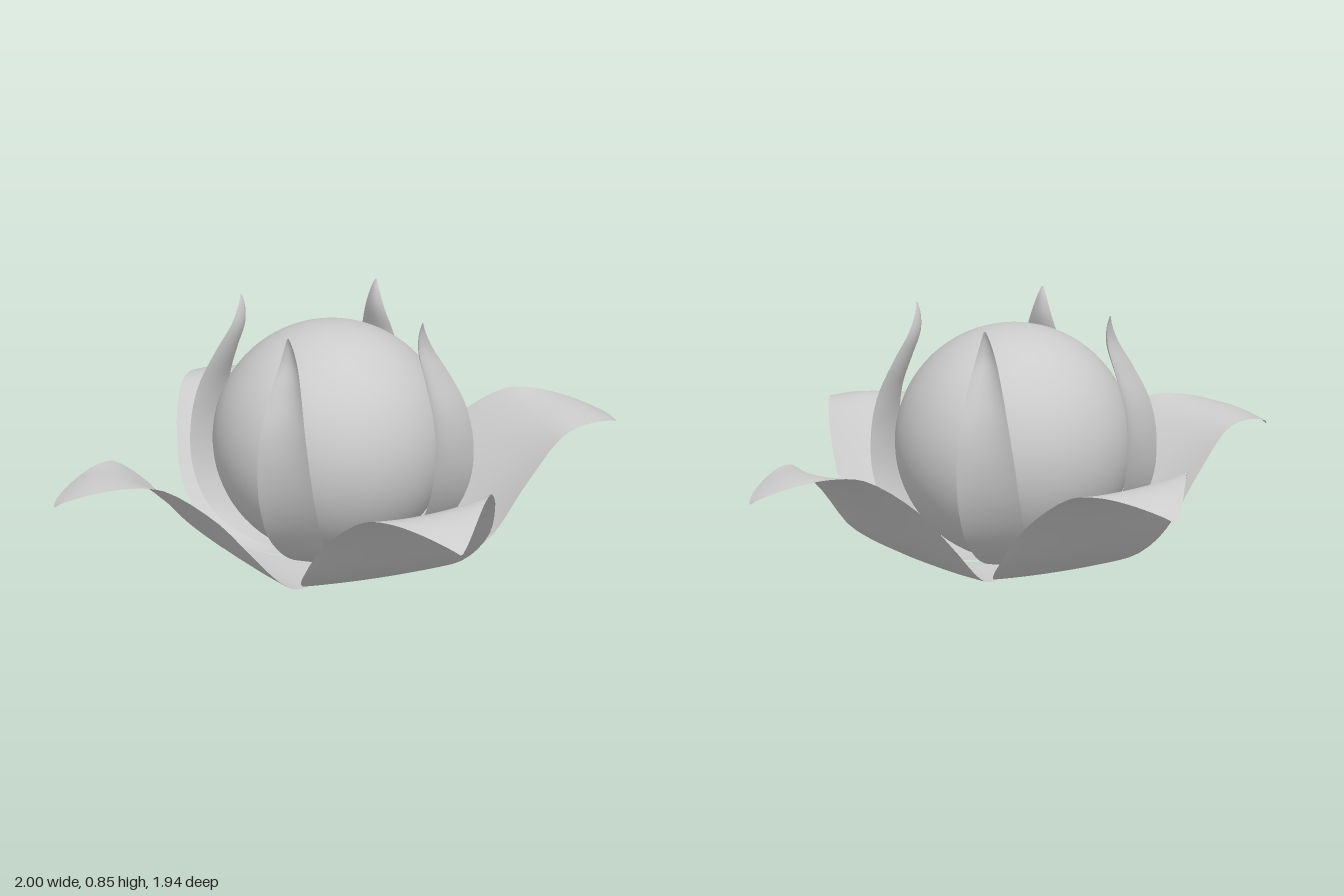
import * as THREE from 'three';

const material = new THREE.MeshStandardMaterial({ color: 0xcccccc, side: THREE.DoubleSide });

// Curved leaf-shaped sheet growing along +x, rolled so that its -z edge sits higher or further out.
// Rows run from base to tip: [distance out, height, half width, edge lift, edge flare]
function petalGeometry(rows, rollUp, rollOut, along = 40, across = 16) {
  const spine = new THREE.CatmullRomCurve3(rows.map(([r, y, w]) => new THREE.Vector3(r, y, w)));
  const curl = new THREE.CatmullRomCurve3(rows.map(([, , , lift, flare], i) => new THREE.Vector3(lift, flare, i)));
  const positions = [];
  const indices = [];
  for (let i = 0; i <= along; i++) {
    const p = spine.getPoint(i / along);
    const c = curl.getPoint(i / along);
    for (let j = 0; j <= across; j++) {
      const t = (j / across) * 2 - 1;
      const z = Math.max(p.z, 0) * t;
      // roll fades in with height so the base stays flat
      const roll = -z * Math.min(p.y / 0.12, 1);
      positions.push(p.x + c.y * t * t + rollOut * roll, p.y + c.x * t * t + rollUp * roll, z);
      if (i < along && j < across) {
        const a = i * (across + 1) + j;
        const b = a + across + 1;
        indices.push(a, a + 1, b, b, a + 1, b + 1);
      }
    }
  }
  const geometry = new THREE.BufferGeometry();
  geometry.setAttribute('position', new THREE.Float32BufferAttribute(positions, 3));
  geometry.setIndex(indices);
  geometry.computeVertexNormals();
  return geometry;
}

// Four copies of a petal around the vertical axis; front and back ones may be a little shorter
function ring(name, geometry, startAngle, frontBackReach) {
  const group = new THREE.Group();
  group.name = name + 's';
  for (let k = 0; k < 4; k++) {
    const petal = new THREE.Mesh(geometry, material);
    petal.name = name;
    petal.rotation.y = startAngle + (k * Math.PI) / 2;
    petal.scale.x = k % 2 ? frontBackReach : 1;
    group.add(petal);
  }
  return group;
}

export function createModel() {
  const flower = new THREE.Group();
  flower.name = 'flower';

  // Round centre
  const bud = new THREE.Mesh(new THREE.SphereGeometry(0.385, 64, 40), material);
  bud.name = 'bud';
  bud.position.set(0, 0.413, -0.037);
  flower.add(bud);

  // Wide open petals, each set slightly to one side of its axis
  const outer = petalGeometry([
    [0.01, 0.015, 0.01, 0, 0],
    [0.1, 0.005, 0.09, 0, 0],
    [0.2, 0.005, 0.19, 0.005, 0],
    [0.3, 0.035, 0.275, 0.01, 0],
    [0.42, 0.12, 0.322, 0.02, 0],
    [0.55, 0.245, 0.297, 0.04, 0],
    [0.7, 0.37, 0.224, 0.025, 0],
    [0.79, 0.405, 0.166, 0, 0],
    [0.88, 0.398, 0.105, -0.01, 0],
    [0.95, 0.367, 0.054, -0.004, 0],
    [0.985, 0.345, 0.024, 0, 0],
    [1.0, 0.33, 0.004, 0, 0],
  ], 0.085, 0);
  outer.translate(0, 0, -0.04);
  flower.add(ring('outerPetal', outer, 0, 0.972));

  // Slim upright petals hugging the bud, edges and tips turned out, leaning a little sideways
  const inner = petalGeometry([
    [0.1, 0.03, 0.03, 0, 0],
    [0.22, 0.06, 0.08, 0, 0],
    [0.33, 0.15, 0.105, 0, 0.01],
    [0.394, 0.28, 0.11, 0, 0.012],
    [0.412, 0.42, 0.103, 0, 0.012],
    [0.394, 0.55, 0.086, 0, 0.018],
    [0.348, 0.67, 0.06, 0, 0.022],
    [0.315, 0.76, 0.035, 0, 0.018],
    [0.315, 0.82, 0.016, 0, 0.008],
    [0.325, 0.853, 0.003, 0, 0],
  ], 0, 0.25);
  inner.rotateX(0.06);
  inner.translate(0, 0, -0.027);
  const innerRing = ring('innerPetal', inner, Math.PI / 4 + 0.02, 1);
  innerRing.position.z = -0.035;
  flower.add(innerRing);

  return flower;
}
